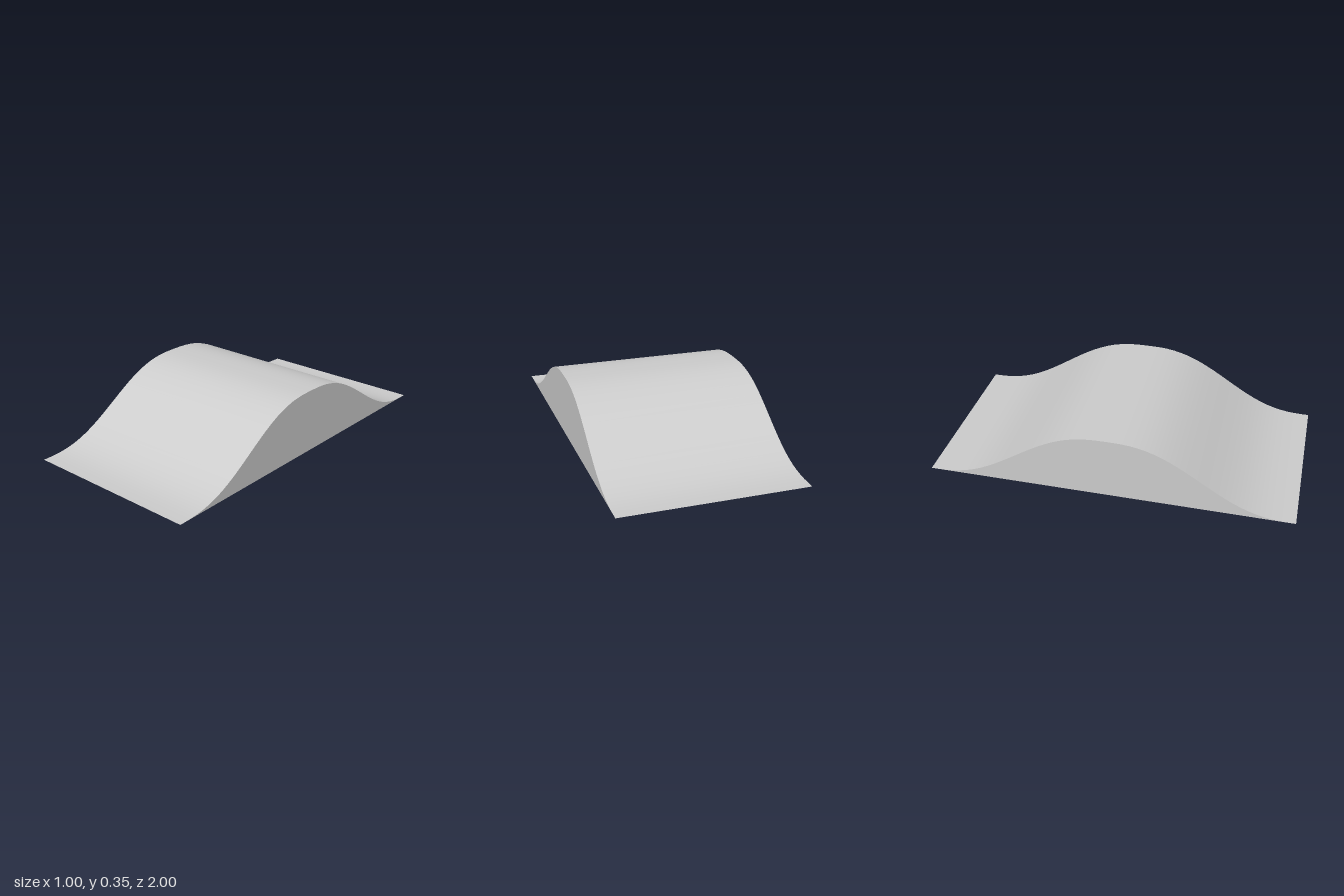
import * as THREE from 'three';

const WIDTH = 1, LENGTH = 2, HEIGHT = 0.35, SEGMENTS = 48;

// Height of the hump at z: an S-curve rising from each end to the middle
const humpHeight = (z) => HEIGHT * THREE.MathUtils.smootherstep(1 - Math.abs(z), 0, 1);

export function createModel() {
  const group = new THREE.Group();
  group.name = 'humpRamp';
  const material = new THREE.MeshStandardMaterial({ color: 0xcccccc, side: THREE.DoubleSide });

  // Curved deck: a flat sheet lifted to the hump profile
  const deckGeometry = new THREE.PlaneGeometry(WIDTH, LENGTH, 1, SEGMENTS).rotateX(-Math.PI / 2);
  const position = deckGeometry.attributes.position;
  for (let i = 0; i < position.count; i++) position.setY(i, humpHeight(position.getZ(i)));
  deckGeometry.computeVertexNormals();
  const deck = new THREE.Mesh(deckGeometry, material);
  deck.name = 'deck';
  group.add(deck);

  // Side walls under the deck; the underside stays open
  const profile = [];
  for (let i = 0; i <= SEGMENTS; i++) {
    const z = -LENGTH / 2 + (LENGTH * i) / SEGMENTS;
    profile.push(new THREE.Vector2(z, humpHeight(z)));
  }
  const wallGeometry = new THREE.ShapeGeometry(new THREE.Shape(profile));
  for (const side of [1, -1]) {
    const wall = new THREE.Mesh(wallGeometry, material);
    wall.name = side > 0 ? 'leftWall' : 'rightWall';
    wall.rotation.y = (side * Math.PI) / 2;
    wall.position.x = (side * WIDTH) / 2;
    group.add(wall);
  }

  return group;
}
